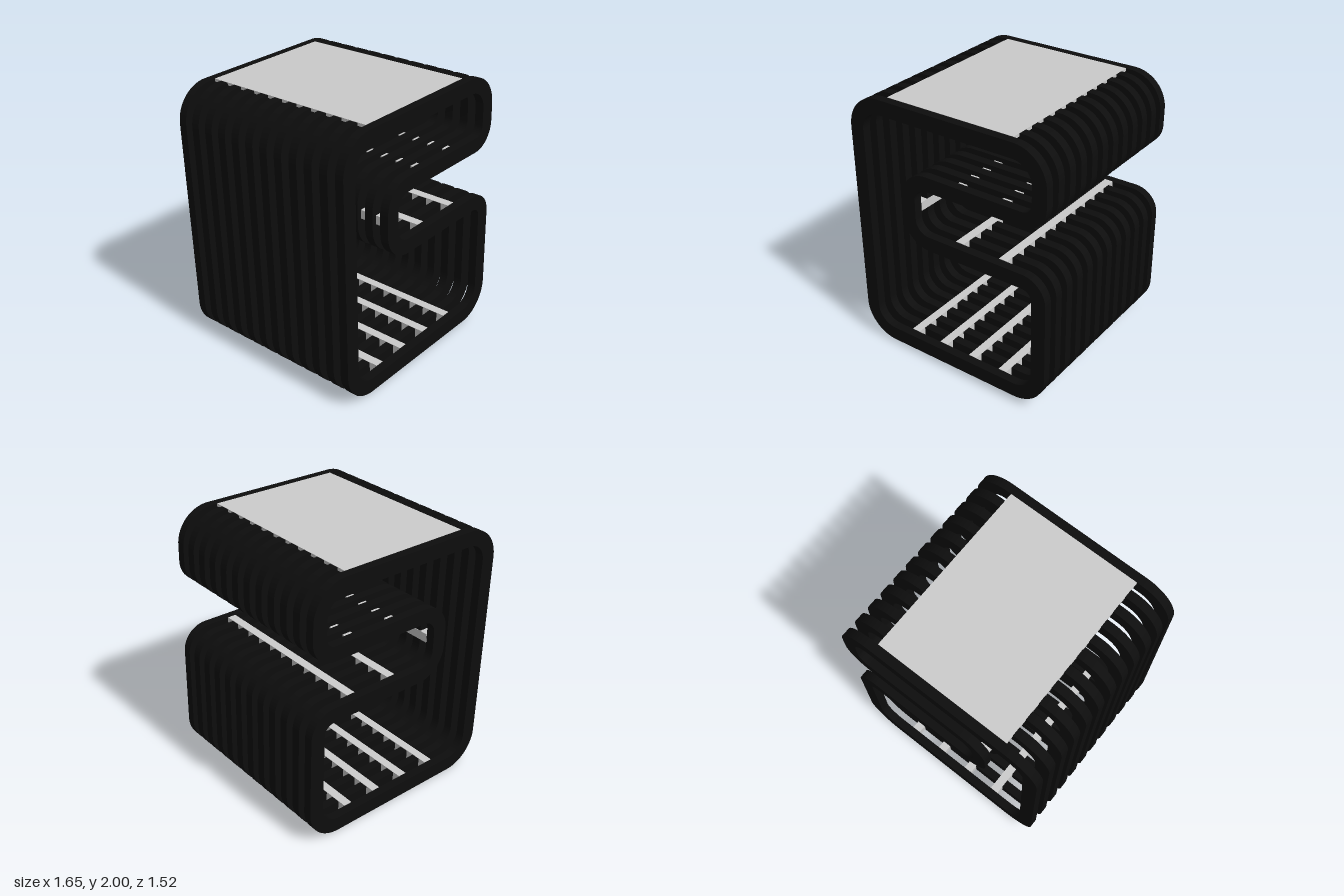
import * as THREE from 'three';
import { toCreasedNormals } from 'three/addons/utils/BufferGeometryUtils.js';

const T = 0.11;        // thickness of the bent band
const SLAT = 0.065;    // slat width along z
const PITCH = 0.1277;  // slat spacing
const COUNT = 12;
const INNER = PITCH * (COUNT - 1) - SLAT; // clear depth between the end slats

// Centre-line corners, counter-clockwise: x, y, outward direction, radius, convex
const CORNERS = [
  [-0.745, -0.923, -1, -1, 0.20, true],
  [0.745, -0.923, 1, -1, 0.20, true],
  [0.745, 0.006, 1, 1, 0.13, true],
  [-0.32, 0.006, 1, 1, 0.16, false],
  [-0.32, 0.468, 1, -1, 0.16, false],
  [0.745, 0.468, 1, -1, 0.13, true],
  [0.745, 0.923, 1, 1, 0.20, true],
  [-0.745, 0.923, -1, 1, 0.20, true],
];

// Rounded loop, offset outward by d from the centre line
function traceLoop(path, d) {
  for (const [x, y, sx, sy, r, convex] of CORNERS) {
    const k = convex ? 1 : -1;
    const mid = Math.atan2(sy * k, sx * k);
    const q = (Math.PI / 4) * k;
    path.absarc(x - sx * r * k, y - sy * r * k, r + d * k, mid - q, mid + q, !convex);
  }
  path.closePath();
  return path;
}

export function createModel() {
  const model = new THREE.Group();
  model.name = 'slattedSideTable';
  const black = new THREE.MeshStandardMaterial({ color: 0x0d0d0d });
  const grey = new THREE.MeshStandardMaterial({ color: 0xcccccc });

  // The whole piece leans very slightly
  const body = new THREE.Group();
  body.name = 'body';
  body.position.y = 1;
  body.rotation.set(-0.016, 0.015, 0.018);
  model.add(body);

  // Bent slats
  const shape = traceLoop(new THREE.Shape(), T / 2);
  shape.holes.push(traceLoop(new THREE.Path(), -T / 2));
  let slatGeo = new THREE.ExtrudeGeometry(shape, { depth: SLAT, bevelEnabled: false, curveSegments: 10 });
  slatGeo.translate(0, 0, -SLAT / 2);
  slatGeo = toCreasedNormals(slatGeo, 0.6);
  for (let i = 0; i < COUNT; i++) {
    const slat = new THREE.Mesh(slatGeo, black);
    slat.name = 'slat' + (i + 1);
    slat.position.z = (i - (COUNT - 1) / 2) * PITCH;
    body.add(slat);
  }

  function addBox(name, w, h, x, y) {
    const mesh = new THREE.Mesh(new THREE.BoxGeometry(w, h, INNER), grey);
    mesh.name = name;
    mesh.position.set(x, y, 0);
    body.add(mesh);
  }

  // Cross bars let into the slats, barely proud of one face
  const W = 0.065, D = 0.08, inset = T / 2 + 0.003 - D / 2;
  for (let i = 0; i < 4; i++) {
    const x = -0.39 + i * 0.265;
    addBox('topCrossBar', W, D, x, 0.923 - inset);
    addBox('bottomCrossBar', W, D, x, -0.923 + inset);
  }
  for (const x of [0.06, 0.42]) {
    addBox('upperShelfCrossBar', W, D, x, 0.468 - inset);
    addBox('lowerShelfCrossBar', W, D, x, 0.006 + inset);
  }
  addBox('neckCrossBar', D, W, -0.32 + inset, 0.237);

  // Panel set into the top
  addBox('topPanel', 1.02, 0.022, 0, 0.969);

  return model;
}
